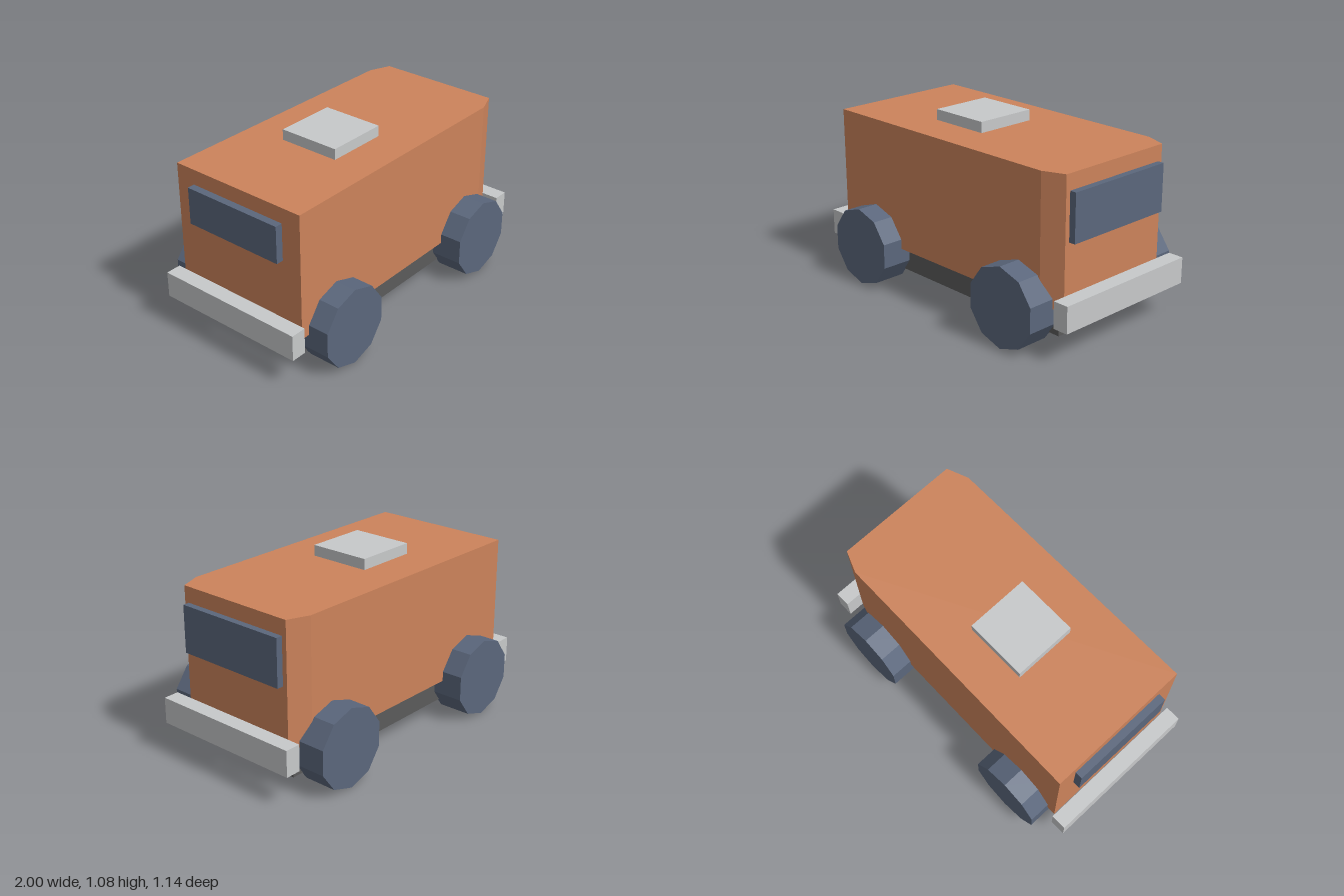
import * as THREE from 'three';

export function createModel() {
  const van = new THREE.Group();
  van.name = 'van';

  const material = (name, color) => {
    const m = new THREE.MeshStandardMaterial({ color, flatShading: true });
    m.name = name;
    return m;
  };
  const orange = material('orange paint', 0xcc835b);
  const slate = material('slate blue', 0x5b677c);
  const silver = material('silver', 0xc7c9ca);
  const charcoal = material('charcoal', 0x5b5b5b);

  const add = (name, geometry, mat, x = 0, y = 0, z = 0) => {
    const mesh = new THREE.Mesh(geometry, mat);
    mesh.name = name;
    mesh.position.set(x, y, z);
    van.add(mesh);
    return mesh;
  };
  // Box given by its limits in x and y and its half width in z
  const box = (name, mat, x0, x1, y0, y1, halfZ) =>
    add(name, new THREE.BoxGeometry(x1 - x0, y1 - y0, 2 * halfZ), mat, (x0 + x1) / 2, (y0 + y1) / 2);

  // Body: plan outline with a slight taper and chamfered nose corners
  const side = [[-0.89, 0.443], [0.76, 0.432], [0.89, 0.381]];
  const outline = [
    ...side.map(([x, z]) => [x, -z]),
    ...side.slice().reverse(),
  ].map(([x, z]) => new THREE.Vector2(x, z));
  const bodyGeometry = new THREE.ExtrudeGeometry(new THREE.Shape(outline), { depth: 0.76, bevelEnabled: false });
  bodyGeometry.rotateX(-Math.PI / 2);
  add('body', bodyGeometry, orange, 0, 0.255, 0);

  // Chassis, bumpers, windows and roof hatch
  box('chassis', charcoal, -0.86, 0.855, 0.098, 0.3, 0.38);
  box('frontBumper', silver, 0.905, 1, 0.193, 0.35, 0.475);
  box('rearBumper', silver, -1, -0.905, 0.193, 0.35, 0.475);
  box('windshield', slate, 0.87, 0.93, 0.638, 0.921, 0.352);
  box('rearWindow', slate, -0.935, -0.87, 0.7, 0.923, 0.32);
  box('roofHatch', silver, -0.32, 0.06, 1.0, 1.08, 0.191);

  // Ten-sided wheels
  const wheelGeometry = new THREE.CylinderGeometry(0.24, 0.24, 0.202, 10).rotateX(Math.PI / 2);
  for (const [end, x] of [['front', 0.602], ['rear', -0.605]]) {
    for (const [flank, z] of [['Right', 0.471], ['Left', -0.471]]) {
      add(end + flank + 'Wheel', wheelGeometry, slate, x, 0.24, z);
    }
  }
  return van;
}
